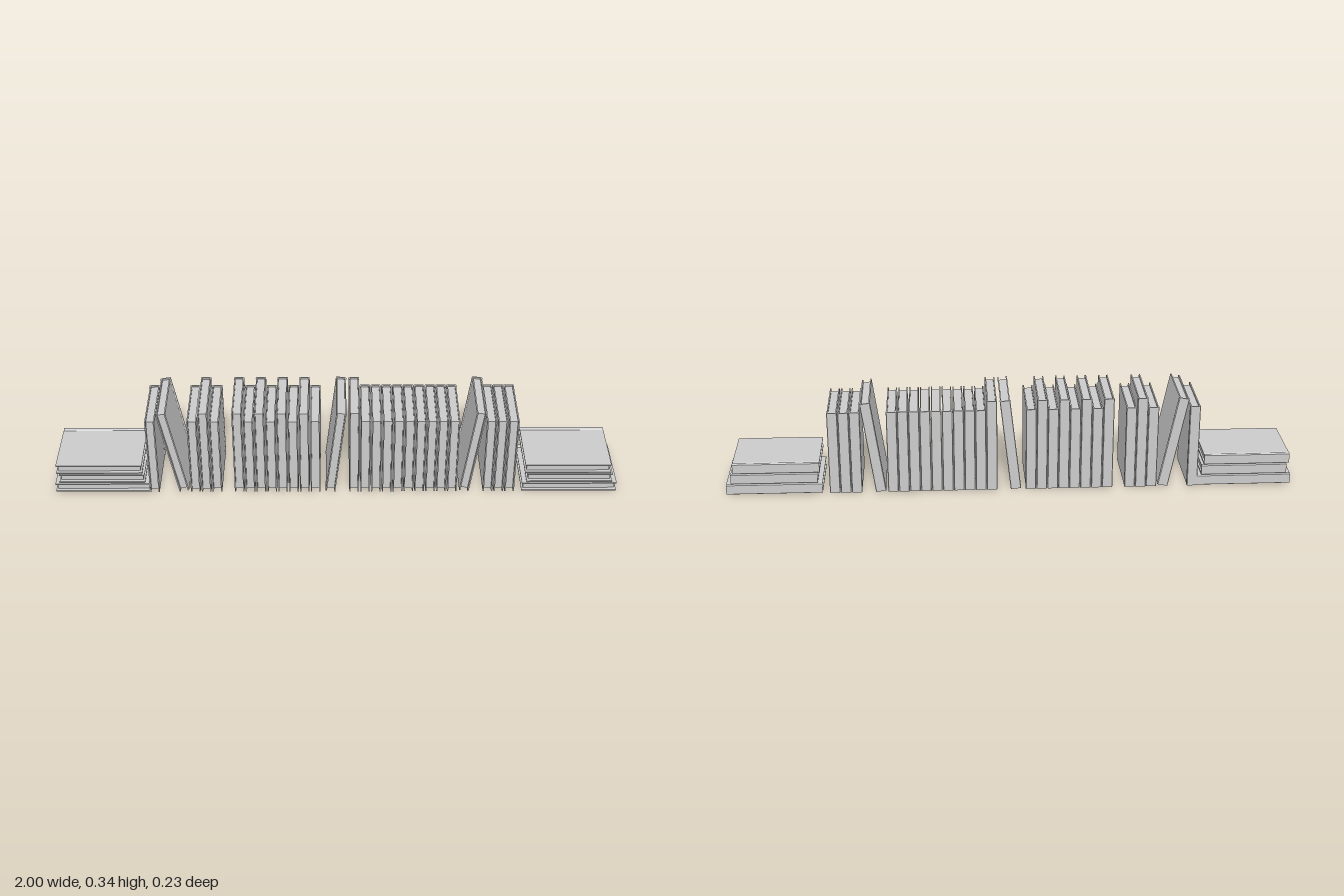
import * as THREE from 'three';

const THICK = 0.037, PITCH = 0.0388, TALL = 0.338, SHORT = 0.304;
const material = new THREE.MeshStandardMaterial({ color: 0xcccccc, flatShading: true });

// Cover cross-section: two boards, hinge grooves and a spine at the back
function coverGeometry(height) {
  const outer = [[0.0172, -0.116], [0.0172, 0.094], [0.0155, 0.099], [0.0185, 0.104], [0.0185, 0.112], [0.0165, 0.115]];
  const inner = [[0.0127, 0.11], [0.0127, -0.116]];
  const mirror = (pts) => pts.map(([x, y]) => [-x, y]).reverse();
  const pts = [...outer, ...mirror(outer), ...mirror(inner), ...inner];
  const shape = new THREE.Shape(pts.map(([x, y]) => new THREE.Vector2(x, y)));
  const geo = new THREE.ExtrudeGeometry(shape, { depth: height, bevelEnabled: false });
  geo.translate(0, 0, -height / 2);
  return geo.rotateX(-Math.PI / 2);
}

// Page block, set back from the board edges at the front, top and bottom
function pageGeometry(height) {
  return new THREE.BoxGeometry(0.0256, height - 0.012, 0.214).translate(0, 0, -0.003);
}

const parts = new Map();
function makeBook(name, height, x, y, tilt = 0) {
  if (!parts.has(height)) parts.set(height, [coverGeometry(height), pageGeometry(height)]);
  const [coverGeo, pageGeo] = parts.get(height);
  const book = new THREE.Group();
  book.name = name;
  const cover = new THREE.Mesh(coverGeo, material);
  cover.name = 'cover';
  const pages = new THREE.Mesh(pageGeo, material);
  pages.name = 'pages';
  book.add(cover, pages);
  book.position.set(x, y, 0);
  book.rotation.z = tilt;
  return book;
}

export function createModel() {
  const model = new THREE.Group();
  model.name = 'bookRow';

  // Upright runs: first centre and the order of short (s) and tall (t) books
  const runs = [
    [-0.648, 's'],
    [-0.502, 'sts'],
    [-0.345, 'tstststs'],
    [0.064, 'tsssssssss'],
    [0.541, 'sss'],
  ];
  for (const [start, sizes] of runs) {
    [...sizes].forEach((size, i) => {
      const h = size === 't' ? TALL : SHORT;
      model.add(makeBook('uprightBook', h, start + i * PITCH, h / 2));
    });
  }

  // Leaning books, each resting on its lower edge
  for (const [x, tilt] of [[-0.575, 0.193], [-0.001, -0.115], [0.48, -0.14]]) {
    const y = (TALL * Math.cos(tilt) + THICK * Math.abs(Math.sin(tilt))) / 2;
    model.add(makeBook('leaningBook', TALL, x, y, tilt));
  }

  // Flat stacks at both ends, bottom to top
  const stacks = [
    ['rightStack', [-0.831, -0.832, -0.84]],
    ['leftStack', [0.831, 0.83, 0.822]],
  ];
  for (const [name, centres] of stacks) {
    const stack = new THREE.Group();
    stack.name = name;
    centres.forEach((x, i) => {
      stack.add(makeBook('flatBook', i === 0 ? TALL : SHORT, x, 0.0195 + i * 0.0395, Math.PI / 2));
    });
    model.add(stack);
  }
  return model;
}
